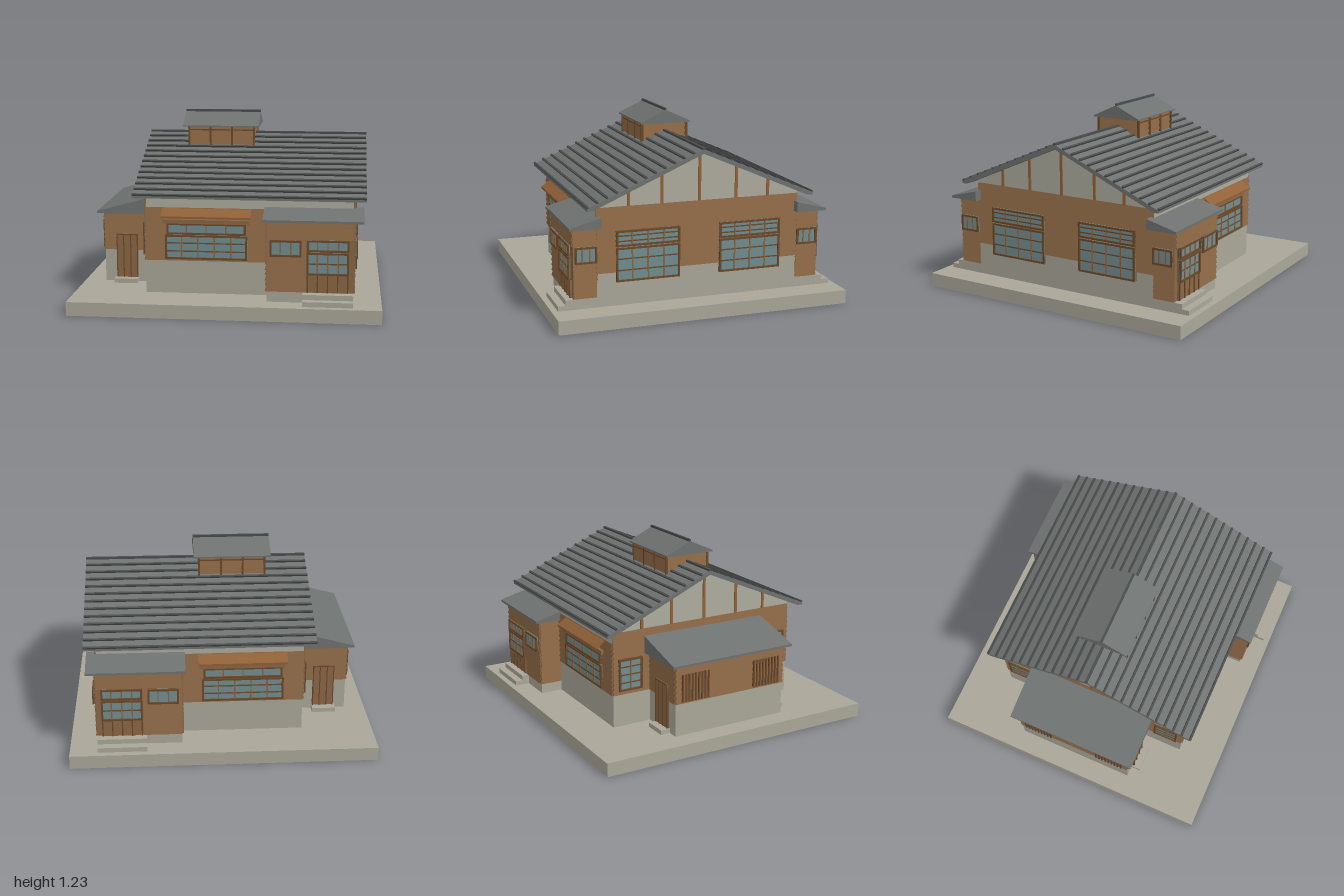
import * as THREE from 'three';

const mat = (name, color, double) => {
  const m = new THREE.MeshStandardMaterial({ color });
  m.name = name;
  return m;
};

export function createModel() {
  const concrete = mat('concrete', 0xaaa799);
  const plaster = mat('plaster', 0xaeac9f);
  const wood = mat('wood', 0x8b6745);
  const frameWood = mat('darkWood', 0x6b4929);
  const trim = mat('trimWood', 0x916238);
  const roofGrey = mat('roofGrey', 0x6e7270);
  const seam = mat('roofSeam', 0x4a4d4d);
  const glass = mat('glass', 0x738e90);

  const model = new THREE.Group();
  model.name = 'house';

  const add = (parent, name, geo, material) => {
    const m = new THREE.Mesh(geo, material);
    m.name = name;
    parent.add(m);
    return m;
  };
  // Box given by its min and max on each axis
  const box = (parent, name, material, x0, x1, y0, y1, z0, z1) => {
    const m = add(parent, name, new THREE.BoxGeometry(x1 - x0, y1 - y0, z1 - z0), material);
    m.position.set((x0 + x1) / 2, (y0 + y1) / 2, (z0 + z1) / 2);
    return m;
  };
  const extrude = (pts, depth) => new THREE.ExtrudeGeometry(
    new THREE.Shape(pts.map(p => new THREE.Vector2(p[0], p[1]))), { depth, bevelEnabled: false });
  // Prism running along x with a profile of [z, y] points
  const prismX = (parent, name, material, pts, x0, x1) => {
    const geo = extrude(pts, x1 - x0);
    geo.rotateY(-Math.PI / 2);
    geo.translate(x1, 0, 0);
    return add(parent, name, geo, material);
  };
  // Local frame on a wall: x along the wall, +z outwards
  const onWall = (name, x, z, turn) => {
    const g = new THREE.Group();
    g.name = name;
    g.position.set(x, 0, z);
    g.rotation.y = turn;
    model.add(g);
    return g;
  };
  const EAST = Math.PI / 2, WEST = -Math.PI / 2;
  const facing = s => (s > 0 ? 0 : Math.PI);

  // Lapped boards with a sawtooth profile
  const siding = (name, x, z, turn, width, y0, y1) => {
    const n = Math.max(1, Math.round((y1 - y0) / 0.035)), step = (y1 - y0) / n;
    const pts = [[-0.005, y0]];
    for (let i = 0; i < n; i++) {
      pts.push([0.011, y0 + i * step], [0.002, y0 + (i + 1) * step]);
    }
    pts.push([-0.005, y1]);
    const g = onWall(name, x, z, turn);
    const m = prismX(g, 'boards', wood, pts, -width / 2, width / 2);
    return m;
  };

  // Framed window with glazing bars
  const windowUnit = (name, x, z, turn, w, y0, y1, cols, rows) => {
    const g = onWall(name, x, z, turn), f = 0.012, b = 0.004;
    box(g, 'glass', glass, -w / 2, w / 2, y0, y1, 0.008, 0.014);
    for (const s of [-1, 1]) {
      const e = s * (w / 2 - f / 2);
      box(g, 'jamb', frameWood, e - f / 2, e + f / 2, y0, y1, 0, 0.024);
      const y = s < 0 ? y0 : y1 - f;
      box(g, 'rail', frameWood, -w / 2, w / 2, y, y + f, 0, 0.023);
    }
    for (let i = 1; i < cols; i++) {
      const c = -w / 2 + (w * i) / cols;
      box(g, 'verticalBar', trim, c - b, c + b, y0 + f, y1 - f, 0.01, 0.02);
    }
    for (let i = 1; i < rows; i++) {
      const c = y0 + ((y1 - y0) * i) / rows;
      box(g, 'crossBar', frameWood, -w / 2 + f, w / 2 - f, c - b, c + b, 0.01, 0.018);
    }
    return g;
  };

  // Base and main body
  box(model, 'base', concrete, -1, 1, 0, 0.09, -0.97, 0.97);
  box(model, 'plinth', concrete, -0.53, 0.82, 0.09, 0.31, -0.68, 0.68);
  box(model, 'wallCore', wood, -0.53, 0.82, 0.31, 0.66, -0.68, 0.68);
  prismX(model, 'gableWall', plaster,
    [[-0.68, 0.66], [0.68, 0.66], [0.68, 0.752], [0, 1.046], [-0.68, 0.752]], -0.53, 0.82);
  siding('eastSiding', 0.82, 0, EAST, 1.36, 0.31, 0.73);
  siding('westSiding', -0.53, 0, WEST, 1.36, 0.31, 0.73);

  // Gable posts at both ends
  const roofUnder = z => 1.046 - Math.abs(z) * 0.432;
  for (const z of [-0.47, -0.25, 0, 0.25, 0.47]) {
    for (const [x0, x1] of [[0.82, 0.828], [-0.538, -0.53]]) {
      box(model, 'gablePost', trim, x0, x1, 0.73, roofUnder(z) - 0.002, z - 0.009, z + 0.009);
    }
  }

  // Main roof with seams
  prismX(model, 'mainRoof', roofGrey,
    [[0.755, 0.73], [0.755, 0.745], [0, 1.07], [-0.755, 0.745], [-0.755, 0.73], [-0.72, 0.73], [0, 1.042], [0.72, 0.73]],
    -0.605, 0.895);
  const slope = Math.atan2(0.325, 0.755);
  for (const s of [-1, 1]) {
    for (let i = 1; i <= 12; i++) {
      const z = i * 0.0625;
      const m = box(model, 'roofSeam', seam, -0.604, 0.894, 0, 0.016, -0.007, 0.007);
      m.position.set(0.145, 1.07 - z * 0.4305 + 0.004, s * z);
      m.rotation.x = s * slope;
    }
  }
  box(model, 'ridgeCap', seam, -0.605, 0.895, 1.06, 1.08, -0.009, 0.009);

  // Roof lantern
  box(model, 'lanternCore', wood, -0.31, 0.125, 0.95, 1.13, -0.15, 0.15);
  siding('lanternEastSiding', 0.125, 0, EAST, 0.3, 0.985, 1.13);
  siding('lanternWestSiding', -0.31, 0, WEST, 0.3, 0.985, 1.13);
  for (const s of [-1, 1]) {
    siding('lanternSiding', -0.0925, s * 0.15, facing(s), 0.435, 0.985, 1.13);
    const g = onWall('lanternFrame', -0.0925, s * 0.15, facing(s));
    for (const x of [-0.222, -0.074, 0.074, 0.222]) {
      box(g, 'post', frameWood, x - 0.006, x + 0.006, 0.99, 1.128, 0, 0.018);
    }
    box(g, 'topRail', frameWood, -0.225, 0.225, 1.1, 1.108, 0, 0.016);
  }
  prismX(model, 'lanternRoof', roofGrey,
    [[-0.178, 1.125], [0.178, 1.125], [0.178, 1.134], [0, 1.216], [-0.178, 1.134]], -0.355, 0.165);
  box(model, 'lanternRidge', seam, -0.355, 0.165, 1.205, 1.228, -0.007, 0.007);

  // Front and back are alike
  for (const s of [-1, 1]) {
    const turn = facing(s);

    // Long window with hood
    siding('longSiding', -0.13, s * 0.68, turn, 0.8, 0.31, 0.66);
    windowUnit('longWindow', -0.1325, s * 0.68, turn, 0.535, 0.322, 0.482, 5, 3);
    windowUnit('longTransom', -0.1325, s * 0.68, turn, 0.515, 0.486, 0.56, 4, 1);
    box(model, 'hoodBeam', wood, -0.415, 0.15, 0.558, 0.585, s > 0 ? 0.68 : -0.705, s > 0 ? 0.705 : -0.68);
    prismX(model, 'hood', trim,
      [[s * 0.68, 0.645], [s * 0.68, 0.658], [s * 0.745, 0.613], [s * 0.745, 0.6]], -0.42, 0.16);

    // Porch body
    const zr = (a, b) => (s > 0 ? [a, b] : [-b, -a]);
    box(model, 'porchBase', concrete, 0.27, 0.82, 0.09, 0.16, ...zr(0.67, 0.83));
    box(model, 'porchCore', wood, 0.27, 0.82, 0.16, 0.62, ...zr(0.67, 0.83));
    siding('porchSiding', 0.395, s * 0.83, turn, 0.25, 0.16, 0.61);
    siding('porchLintel', 0.67, s * 0.83, turn, 0.3, 0.5, 0.61);
    siding('porchEastSiding', 0.82, s * 0.755, EAST, 0.15, 0.16, 0.61);
    siding('porchWestSiding', 0.27, s * 0.755, WEST, 0.15, 0.16, 0.61);
    prismX(model, 'porchRoof', roofGrey,
      [[s * 0.66, 0.612], [s * 0.865, 0.612], [s * 0.865, 0.627], [s * 0.66, 0.68]], 0.245, 0.88);

    // Porch windows and entrance
    windowUnit('porchWindow', 0.39, s * 0.83, turn, 0.2, 0.39, 0.495, 3, 1);
    windowUnit('porchSideWindow', 0.82, s * 0.75, EAST, 0.14, 0.385, 0.492, 3, 1);
    windowUnit('doorTransom', 0.657, s * 0.83, turn, 0.265, 0.425, 0.5, 4, 1);
    windowUnit('doorWindow', 0.657, s * 0.83, turn, 0.265, 0.275, 0.42, 4, 2);
    const door = onWall('entranceDoor', 0.657, s * 0.83, turn);
    box(door, 'panel', wood, -0.132, 0.132, 0.16, 0.275, 0, 0.012);
    for (let i = 0; i <= 4; i++) {
      const x = -0.127 + i * 0.0635;
      box(door, 'batten', frameWood, x - 0.004, x + 0.004, 0.16, 0.275, 0, 0.018);
    }
    box(model, 'upperStep', concrete, 0.5, 0.82, 0.09, 0.155, ...zr(0.83, 0.88));
    box(model, 'lowerStep', concrete, 0.5, 0.82, 0.09, 0.122, ...zr(0.88, 0.93));

    // East and west windows of the main body
    windowUnit('eastWindow', 0.82, s * 0.345, EAST, 0.42, 0.248, 0.468, 4, 3);
    windowUnit('eastTransom', 0.82, s * 0.345, EAST, 0.42, 0.475, 0.577, 4, 3);
    windowUnit('westWindow', -0.53, s * 0.56, WEST, 0.17, 0.335, 0.55, 2, 4);

    // Annex ends: siding, door and step
    siding('annexEndSiding', -0.695, s * 0.41, turn, 0.33, 0.31, 0.567);
    const back = onWall('annexDoor', -0.707, s * 0.41, turn);
    box(back, 'leaf', wood, -0.072, 0.072, 0.12, 0.42, 0, 0.014);
    for (const x of [-0.069, -0.024, 0.024, 0.069]) {
      box(back, 'batten', frameWood, x - 0.003, x + 0.003, 0.12, 0.42, 0, 0.02);
    }
    box(back, 'head', frameWood, -0.072, 0.072, 0.413, 0.42, 0, 0.019);
    box(model, 'annexStep', concrete, -0.79, -0.63, 0.09, 0.12, ...zr(0.41, 0.475));

    // Slatted panels on the annex
    const slats = onWall('slattedPanel', -0.86, s * 0.27, WEST);
    box(slats, 'panel', wood, -0.1, 0.1, 0.32, 0.505, 0, 0.012);
    for (let i = 0; i <= 8; i++) {
      const x = -0.095 + i * 0.02375;
      box(slats, 'slat', frameWood, x - 0.005, x + 0.005, 0.32, 0.505, 0, 0.02);
    }
  }

  // Annex
  box(model, 'annexPlinth', concrete, -0.86, -0.53, 0.09, 0.31, -0.41, 0.41);
  box(model, 'annexCore', wood, -0.86, -0.53, 0.31, 0.57, -0.41, 0.41);
  siding('annexWestSiding', -0.86, 0, WEST, 0.82, 0.31, 0.567);
  const annexRoof = add(model, 'annexRoof', extrude(
    [[-0.905, 0.565], [-0.53, 0.565], [-0.53, 0.682], [-0.905, 0.58]], 0.905), roofGrey);
  annexRoof.position.z = -0.4525;

  return model;
}
